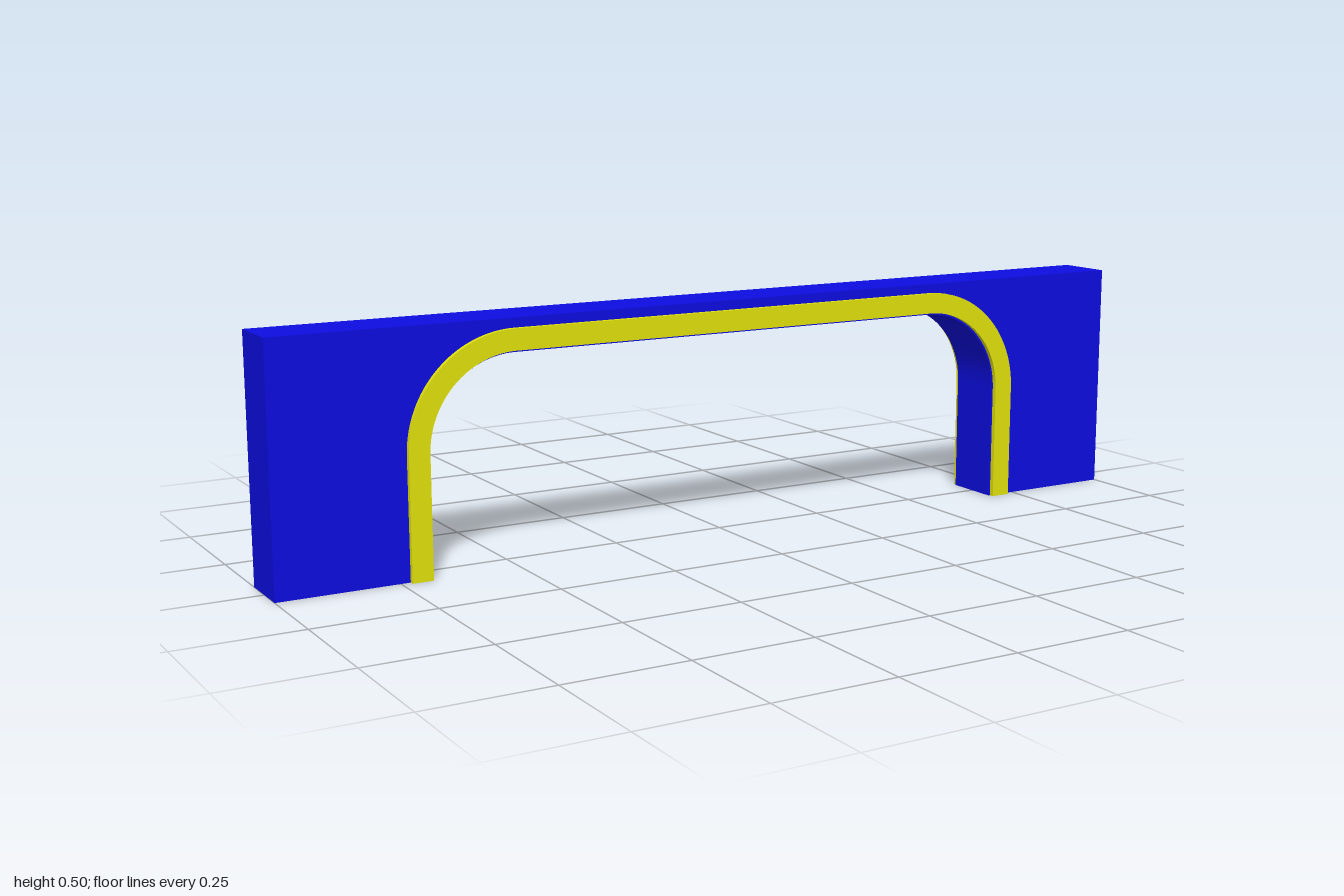
import * as THREE from 'three';

const CX = 0.5, CY = 0.25; // centre of the rounded arch corners

// Traces the arch line, corner radius r, from the right foot over to the left
function traceArch(path, r) {
  path.lineTo(CX + r, 0);
  path.lineTo(CX + r, CY);
  path.absarc(CX, CY, r, 0, Math.PI / 2, false);
  path.lineTo(-CX, CY + r);
  path.absarc(-CX, CY, r, Math.PI / 2, Math.PI, false);
  path.lineTo(-CX - r, 0);
}

function archBand(inner, outer) {
  const shape = new THREE.Shape();
  const back = new THREE.Path();
  shape.moveTo(CX + outer, 0);
  traceArch(shape, outer);
  // inner line returns from left to right
  back.moveTo(CX + inner, 0);
  traceArch(back, inner);
  back.getPoints(16).reverse().forEach((p) => shape.lineTo(p.x, p.y));
  return shape;
}

function extruded(name, shape, depth, color) {
  const geometry = new THREE.ExtrudeGeometry(shape, { depth, bevelEnabled: false, curveSegments: 16 });
  geometry.translate(0, 0, -depth / 2);
  const mesh = new THREE.Mesh(geometry, new THREE.MeshStandardMaterial({ color }));
  mesh.name = name;
  return mesh;
}

export function createModel() {
  const group = new THREE.Group();
  group.name = 'archway';

  // Wall with the arched opening cut from its bottom edge
  const wall = new THREE.Shape();
  wall.moveTo(1, 0);
  wall.lineTo(1, 0.5);
  wall.lineTo(-1, 0.5);
  wall.lineTo(-1, 0);
  const opening = new THREE.Path();
  opening.moveTo(CX + 0.23, 0);
  traceArch(opening, 0.23);
  opening.getPoints(16).reverse().forEach((p) => wall.lineTo(p.x, p.y));
  group.add(extruded('wall', wall, 0.123, 0x0d0de0));

  // Trim standing slightly proud of both wall faces
  group.add(extruded('archTrim', archBand(0.186, 0.23), 0.144, 0xe0e00d));

  // Thin lining on the underside of the arch
  group.add(extruded('archLining', archBand(0.182, 0.186), 0.123, 0x0d0de0));

  return group;
}
